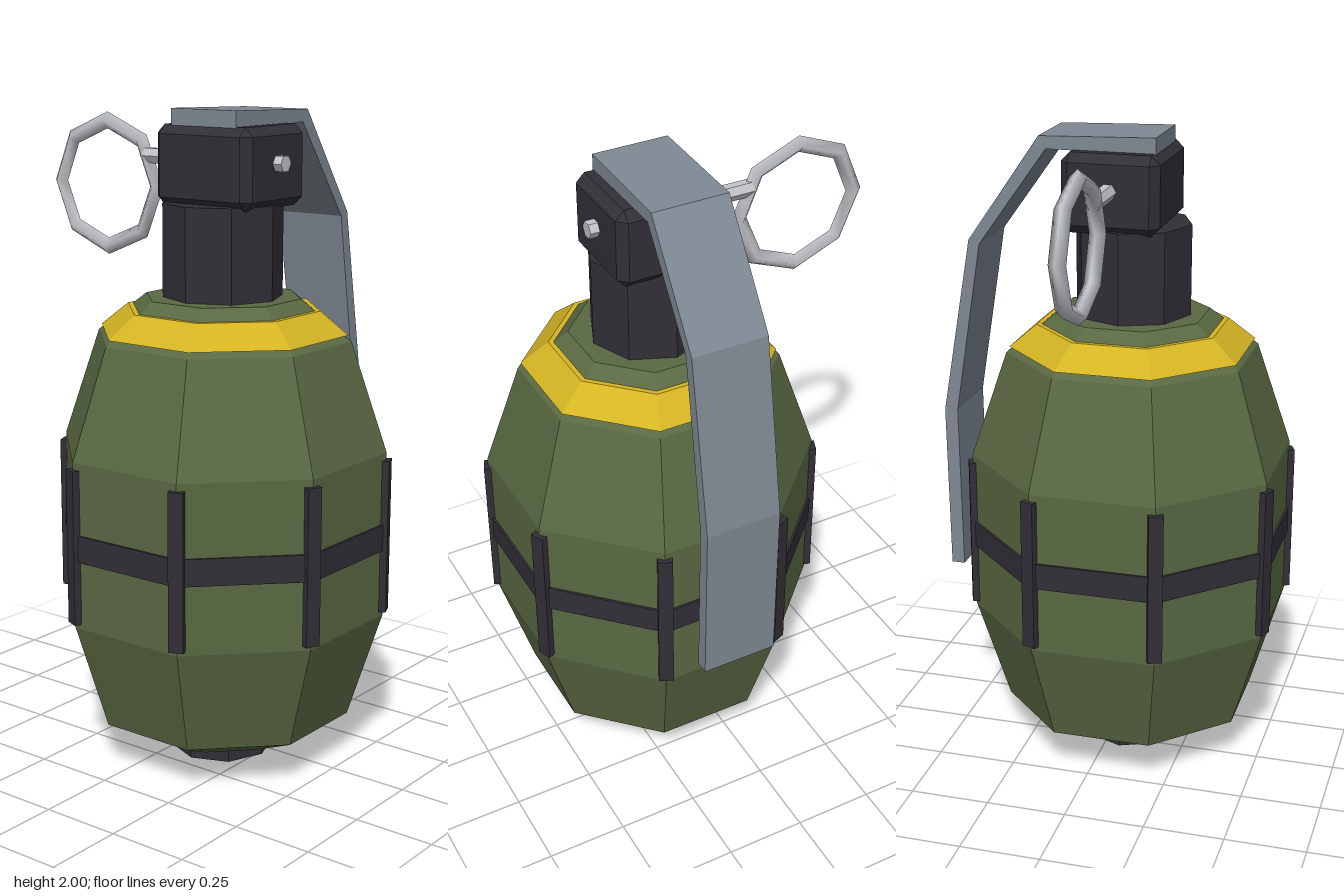
import * as THREE from 'three';
import { ConvexGeometry } from 'three/addons/geometries/ConvexGeometry.js';

const mat = (name, color) => new THREE.MeshStandardMaterial({ name, color });

// Faceted normals for low-poly parts
function flat(geometry) {
  const g = geometry.index ? geometry.toNonIndexed() : geometry;
  g.computeVertexNormals();
  return g;
}

// Eight-sided lathe with flat sides facing the axes; profile is [distance to flat, y], bottom to top
function octagon(profile) {
  const k = 1 / Math.cos(Math.PI / 8);
  const points = profile.map(([r, y]) => new THREE.Vector2(r * k, y));
  return flat(new THREE.LatheGeometry(points, 8, Math.PI / 8));
}

// Box with every edge cut off by c
function chamferBox(w, h, d, c) {
  const points = [];
  for (const x of [-w / 2, w / 2]) for (const y of [-h / 2, h / 2]) for (const z of [-d / 2, d / 2]) {
    const [sx, sy, sz] = [x, y, z].map((v) => Math.sign(v) * c);
    points.push(
      new THREE.Vector3(x, y - sy, z - sz),
      new THREE.Vector3(x - sx, y, z - sz),
      new THREE.Vector3(x - sx, y - sy, z),
    );
  }
  return new ConvexGeometry(points);
}

export function createModel() {
  const green = mat('olive green', 0x5a6943);
  const yellow = mat('yellow', 0xd4b423);
  const black = mat('dark iron', 0x322f37);
  const grey = mat('lever steel', 0x7f8994);
  const silver = mat('bright steel', 0xc2c5ca);

  const model = new THREE.Group();
  const AX = 0.106, AZ = 0.05; // centre line of the body
  const add = (name, geometry, material, x, y, z, parent = model) => {
    const mesh = new THREE.Mesh(geometry, material);
    mesh.name = name;
    mesh.position.set(x, y, z);
    parent.add(mesh);
    return mesh;
  };

  // Body, shoulder stripe and belt
  add('body', octagon([
    [0, 0.05], [0.19, 0.05], [0.373, 0.143], [0.47, 0.478], [0.47, 0.99],
    [0.365, 1.323], [0.222, 1.444], [0, 1.444],
  ]), green, AX, 0, AZ);
  add('shoulderBand', octagon([
    [0.33, 1.341], [0.356, 1.341], [0.277, 1.41], [0.25, 1.41],
  ]), yellow, AX, 0, AZ);
  add('belt', octagon([
    [0.46, 0.688], [0.477, 0.688], [0.477, 0.77], [0.46, 0.77],
  ]), black, AX, 0, AZ);

  // Upright ribs on the eight corners
  const ribs = new THREE.Group();
  ribs.name = 'ribs';
  ribs.position.set(AX, 0.73, AZ);
  model.add(ribs);
  const ribGeometry = new THREE.BoxGeometry(0.045, 0.476, 0.024);
  for (let i = 0; i < 8; i++) {
    const a = (i + 0.5) * Math.PI / 4;
    const rib = add('rib', ribGeometry, black, 0.509 * Math.sin(a), 0, 0.509 * Math.cos(a), ribs);
    rib.rotation.y = a;
  }

  // Base plug, neck and head
  add('basePlug', flat(new THREE.CylinderGeometry(0.159, 0.159, 0.06, 8)), black, AX, 0.03, AZ);
  add('neck', flat(new THREE.CylinderGeometry(0.182, 0.182, 0.3, 8)), black, AX, 1.574, AZ);
  add('head', chamferBox(0.35, 0.24, 0.302, 0.027), black, AX, 1.833, 0.017);

  // Bent lever, drawn from the side as [z, y]
  const outline = [
    [0.147, 2], [-0.213, 1.99], [-0.441, 1.661], [-0.536, 1.106], [-0.529, 0.577],
    [-0.487, 0.577], [-0.494, 1.106], [-0.407, 1.65], [-0.19, 1.952], [0.147, 1.95],
  ];
  const leverWidth = 0.238;
  const lever = new THREE.ExtrudeGeometry(
    new THREE.Shape(outline.map(([z, y]) => new THREE.Vector2(z, y))),
    { depth: leverWidth, bevelEnabled: false },
  );
  lever.rotateY(-Math.PI / 2);
  add('lever', lever, grey, AX + leverWidth / 2, 0, 0);

  // Six-sided pin through the head, with its pull ring
  const pin = new THREE.CylinderGeometry(0.026, 0.026, 0.53, 6);
  pin.rotateZ(Math.PI / 2);
  add('pin', flat(pin), silver, 0.045, 1.845, 0.017);
  add('pullRing', new THREE.TorusGeometry(0.197, 0.026, 4, 8), silver, -0.373, 1.749, 0.017);

  return model;
}
